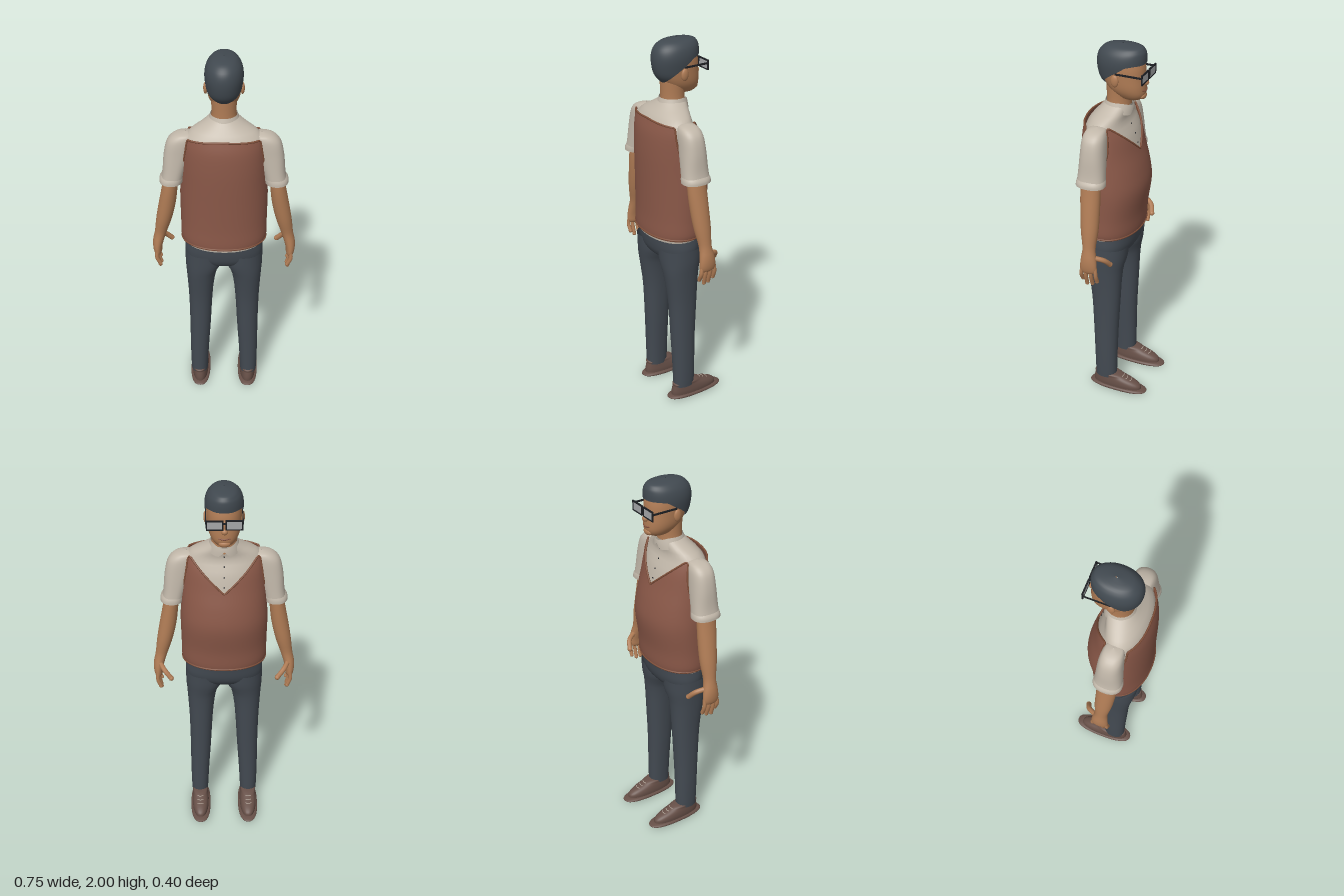
import * as THREE from 'three';

const mat = (name, color, double) => {
  const m = new THREE.MeshStandardMaterial({ color });
  m.name = name;
  if (double) m.side = THREE.DoubleSide;
  return m;
};

// Cross-section bounds [x0, x1, z0, z1] at height y, from rows [y, x0, x1, z0, z1]
function sample(rows, y) {
  const n = rows.length;
  let i = 0;
  while (i < n - 2 && y > rows[i + 1][0]) i++;
  const a = rows[i], b = rows[i + 1], p = rows[Math.max(0, i - 1)], q = rows[Math.min(n - 1, i + 2)];
  const h = b[0] - a[0], t = THREE.MathUtils.clamp((y - a[0]) / h, 0, 1);
  const t2 = t * t, t3 = t2 * t;
  return [1, 2, 3, 4].map(k => {
    const m0 = (b[k] - p[k]) / (b[0] - p[0]) * h, m1 = (q[k] - a[k]) / (q[0] - a[0]) * h;
    return (2 * t3 - 3 * t2 + 1) * a[k] + (t3 - 2 * t2 + t) * m0 + (3 * t2 - 2 * t3) * b[k] + (t3 - t2) * m1;
  });
}

// Point on a lofted body; n is the roundness power of the section
function surfacePoint(rows, angle, y, n = 2) {
  const [x0, x1, z0, z1] = sample(rows, y);
  const c = Math.cos(angle), s = Math.sin(angle), f = v => Math.sign(v) * Math.abs(v) ** (2 / n);
  return new THREE.Vector3((x0 + x1) / 2 + f(c) * (x1 - x0) / 2, y, (z0 + z1) / 2 + f(s) * (z1 - z0) / 2);
}

// Lofted skin between a bottom and a top edge that may vary with the angle
function shell(rows, { bottom, top, n = 2, segs = 40, steps = 28 } = {}) {
  const lo = bottom || (() => rows[0][0]), hi = top || (() => rows[rows.length - 1][0]);
  const pos = [], idx = [];
  for (let j = 0; j <= steps; j++) {
    const t = (1 - Math.cos(Math.PI * j / steps)) / 2;
    for (let i = 0; i < segs; i++) {
      const a = i / segs * Math.PI * 2;
      pos.push(...surfacePoint(rows, a, THREE.MathUtils.lerp(lo(a), hi(a), t), n).toArray());
      if (j < steps) {
        const k = j * segs + i, r = j * segs + (i + 1) % segs;
        idx.push(k, k + segs, r, r, k + segs, r + segs);
      }
    }
  }
  const g = new THREE.BufferGeometry();
  g.setAttribute('position', new THREE.Float32BufferAttribute(pos, 3));
  g.setIndex(idx);
  g.computeVertexNormals();
  return g;
}

// Rows symmetric about x = 0: [y, halfWidth, z0, z1]
const sym = rows => rows.map(([y, w, z0, z1]) => [y, -w, w, z0, z1]);
// The same rows on either side of the body
const side = (rows, s) => rows.map(([y, a, b, z0, z1]) => (s > 0 ? [y, a, b, z0, z1] : [y, -b, -a, z0, z1]));

export function createModel() {
  const root = new THREE.Group();
  const skin = mat('skin', 0xb07c55), lips = mat('lips', 0x84503c), hair = mat('hair', 0x414950, true);
  const shirt = mat('shirt cloth', 0xc2b8aa, true), knit = mat('vest knit', 0x8a5848, true);
  const trim = mat('vest trim', 0x7e4e38), denim = mat('trouser cloth', 0x434a52, true);
  const leather = mat('shoe leather', 0x664f47), black = mat('dark frame', 0x1e2024), glass = mat('lens', 0xa6a8aa);

  const add = (name, geo, m, x = 0, y = 0, z = 0) => {
    const mesh = new THREE.Mesh(geo, m);
    mesh.name = name;
    mesh.position.set(x, y, z);
    root.add(mesh);
    return mesh;
  };
  const ball = (name, m, p, s) => add(name, new THREE.SphereGeometry(1, 20, 14), m, ...p).scale.set(...s);
  const tube = (name, m, pts, r, closed = false, segs = 14) => add(name, new THREE.TubeGeometry(
    new THREE.CatmullRomCurve3(pts.map(p => (p.isVector3 ? p : new THREE.Vector3(...p))), closed), segs, r, 8, closed), m);

  // Shirt body, visible at the shoulders, neckline and hem
  const shirtRows = sym([
    [0.972, 0.198, -0.105, 0.165], [1.0, 0.205, -0.11, 0.168], [1.1, 0.21, -0.115, 0.168], [1.25, 0.214, -0.137, 0.17],
    [1.45, 0.205, -0.1, 0.17], [1.55, 0.2, -0.074, 0.163], [1.6, 0.195, -0.05, 0.15], [1.63, 0.165, -0.048, 0.13],
    [1.66, 0.112, -0.055, 0.102], [1.69, 0.07, -0.06, 0.076]]);
  add('shirt', shell(shirtRows, { n: 2.1 }), shirt);

  // Collar with two points at the front (-z)
  const collarRows = sym([[1.635, 0.09, -0.072, 0.09], [1.67, 0.08, -0.07, 0.086], [1.705, 0.067, -0.063, 0.074]]);
  add('collar', shell(collarRows, {
    bottom: a => 1.668 - 0.03 * Math.max(0, -Math.sin(a)) * Math.min(1, Math.abs(Math.cos(a)) * 3),
    top: a => 1.705 - 0.02 * Math.max(0, -Math.sin(a)) ** 4, steps: 8 }), shirt);
  for (const y of [1.48, 1.53, 1.58, 1.63])
    ball('shirtButton', black, [0, y, sample(shirtRows, y)[2] - 0.001], [0.004, 0.004, 0.003]);

  // Sleeveless vest with V neck and open armholes
  const vestRows = sym([
    [0.99, 0.215, -0.118, 0.178], [1.02, 0.222, -0.123, 0.18], [1.1, 0.222, -0.128, 0.178], [1.25, 0.224, -0.148, 0.18],
    [1.35, 0.219, -0.135, 0.182], [1.45, 0.214, -0.109, 0.182], [1.55, 0.21, -0.083, 0.175], [1.62, 0.203, -0.05, 0.157]]);
  const vestTop = a => {
    const c = Math.abs(Math.cos(a)), arm = Math.max(0, (c - 0.88) / 0.12);
    const neck = Math.sin(a) > 0 ? 1.618 - 0.012 * c : 1.45 + 0.16 * Math.min(1, c / 0.8);
    return neck - 0.2 * Math.sqrt(arm);
  };
  add('vest', shell(vestRows, { top: vestTop, n: 2.1, segs: 80 }), knit);
  const ring = (f, count) => Array.from({ length: count }, (_, i) => {
    const a = i / count * Math.PI * 2;
    return surfacePoint(vestRows, a, f(a), 2.1);
  });
  tube('vestEdging', trim, ring(vestTop, 80), 0.005, true, 160);
  tube('vestHem', trim, ring(() => 0.998, 40), 0.005, true, 80);

  // Trouser seat
  add('trouserSeat', shell(sym([
    [0.832, 0.03, 0.0, 0.06], [0.85, 0.13, -0.045, 0.115], [0.88, 0.19, -0.078, 0.14], [0.92, 0.203, -0.097, 0.152],
    [0.985, 0.198, -0.108, 0.16]]), { n: 2.2 }), denim);

  // Head, neck and face
  add('neck', shell(sym([[1.65, 0.07, -0.057, 0.072], [1.71, 0.062, -0.055, 0.068], [1.8, 0.064, -0.06, 0.07]])), skin);
  add('head', shell(sym([
    [1.715, 0.005, -0.075, -0.06], [1.722, 0.036, -0.108, -0.015], [1.745, 0.06, -0.13, 0.025], [1.78, 0.077, -0.134, 0.06],
    [1.83, 0.084, -0.131, 0.085], [1.9, 0.085, -0.126, 0.1], [1.95, 0.07, -0.1, 0.08], [1.98, 0.01, -0.02, 0.0]]),
    { n: 2.2 }), skin);
  ball('nose', skin, [0, 1.815, -0.134], [0.017, 0.016, 0.017]);
  ball('noseBridge', skin, [0, 1.84, -0.128], [0.009, 0.03, 0.012]);
  ball('chin', skin, [0, 1.743, -0.12], [0.03, 0.018, 0.017]);
  tube('mouth', lips, [[-0.028, 1.776, -0.127], [0, 1.772, -0.136], [0.028, 1.776, -0.127]], 0.004);

  // Hair cap: high across the forehead, low at the nape
  add('hair', shell(sym([
    [1.785, 0.062, -0.1, 0.072], [1.82, 0.083, -0.12, 0.1], [1.86, 0.091, -0.13, 0.113], [1.91, 0.095, -0.134, 0.117],
    [1.95, 0.088, -0.134, 0.108], [1.975, 0.073, -0.126, 0.088], [1.992, 0.048, -0.1, 0.055], [2.0, 0.002, -0.02, -0.01]]), {
    bottom: a => {
      const s = Math.sin(a);
      return s < -0.4 ? 1.912 - 0.02 * Math.max(0, s + 0.7) : 1.906 - 0.118 * Math.min(1, (s + 0.4) / 1.35);
    }, n: 2.1, segs: 64 }), hair);

  // Glasses
  const rim = new THREE.Shape([[-0.042, -0.026], [0.042, -0.026], [0.042, 0.026], [-0.042, 0.026]].map(p => new THREE.Vector2(...p)));
  rim.holes.push(new THREE.Path([[-0.035, -0.02], [-0.035, 0.019], [0.035, 0.019], [0.035, -0.02]].map(p => new THREE.Vector2(...p))));
  const rimGeo = new THREE.ExtrudeGeometry(rim, { depth: 0.007, bevelEnabled: false });
  add('glassesBridge', new THREE.BoxGeometry(0.014, 0.008, 0.007), black, 0, 1.865, -0.148);

  for (const s of [1, -1]) {
    add('glassesRim', rimGeo, black, s * 0.047, 1.857, -0.152);
    add('glassesLens', new THREE.BoxGeometry(0.071, 0.04, 0.003), glass, s * 0.047, 1.857, -0.148);
    add('glassesArm', new THREE.BoxGeometry(0.005, 0.009, 0.14), black, s * 0.089, 1.868, -0.08);
    ball('ear', skin, [s * 0.09, 1.832, -0.008], [0.011, 0.031, 0.02]);

    // Sleeve and turned cuff
    add('sleeve', shell(side([
      [1.345, 0.208, 0.32, -0.03, 0.116], [1.4, 0.195, 0.309, -0.026, 0.112], [1.5, 0.165, 0.299, -0.02, 0.106],
      [1.57, 0.15, 0.282, -0.014, 0.102], [1.6, 0.145, 0.258, -0.006, 0.095], [1.616, 0.15, 0.225, 0.008, 0.08],
      [1.622, 0.185, 0.19, 0.04, 0.045]], s), { n: 2.4 }), shirt);
    add('sleeveCuff', shell(side([[1.342, 0.206, 0.326, -0.033, 0.119], [1.36, 0.202, 0.324, -0.032, 0.118],
      [1.376, 0.2, 0.313, -0.027, 0.113]], s), { n: 2.3, steps: 6 }), shirt);

    // Arm running down into the palm
    add('arm', shell(side([
      [0.875, 0.335, 0.36, 0.0, 0.055], [0.885, 0.328, 0.368, -0.018, 0.068], [0.92, 0.325, 0.374, -0.02, 0.07],
      [0.965, 0.314, 0.372, -0.014, 0.066], [1.01, 0.3, 0.362, -0.005, 0.062], [1.1, 0.27, 0.351, -0.012, 0.078],
      [1.2, 0.247, 0.334, -0.012, 0.088], [1.3, 0.235, 0.315, -0.01, 0.094], [1.42, 0.225, 0.295, -0.005, 0.09]], s)), skin);

    // Fingers and thumb
    const digit = (name, pts, r) => {
      const p = pts.map(([x, y, z]) => [x * s, y, z]);
      tube(name, skin, p, r);
      ball(name + 'Tip', skin, p[2], [r, r, r]);
    };
    [[-0.012, 0.825], [0.012, 0.806], [0.036, 0.804], [0.058, 0.828]].forEach(([z, tip], i) =>
      digit('finger', [[0.35, 0.91, z], [0.352, 0.865, z * 1.15 - 0.002], [0.338 - 0.003 * (i % 2), tip, z * 1.15 - 0.003]], 0.0105));
    digit('thumb', [[0.34, 0.965, 0.005], [0.313, 0.945, -0.045], [0.28, 0.908, -0.064]], 0.0135);

    // Trouser leg
    add('trouserLeg', shell(side([
      [0.075, 0.092, 0.182, -0.032, 0.085], [0.12, 0.09, 0.184, -0.034, 0.086], [0.25, 0.083, 0.186, -0.036, 0.09],
      [0.4, 0.073, 0.186, -0.04, 0.096], [0.6, 0.062, 0.189, -0.05, 0.106], [0.72, 0.05, 0.195, -0.056, 0.122],
      [0.8, 0.032, 0.2, -0.065, 0.135], [0.84, 0.008, 0.203, -0.076, 0.14], [0.92, 0.0, 0.203, -0.085, 0.145]], s),
      { n: 2.2 }), denim);

    // Shoe: sole, upper and laces
    add('shoeSole', shell(side([[0, 0.12, 0.15, -0.06, 0.0], [0.002, 0.088, 0.18, -0.182, 0.098],
      [0.022, 0.085, 0.183, -0.186, 0.102], [0.025, 0.12, 0.15, -0.06, 0.0]], s), { n: 2.5 }), leather);
    const upper = side([
      [0.02, 0.09, 0.179, -0.181, 0.098], [0.04, 0.089, 0.181, -0.176, 0.098], [0.058, 0.091, 0.18, -0.15, 0.095],
      [0.078, 0.095, 0.177, -0.095, 0.09], [0.095, 0.1, 0.174, -0.045, 0.085], [0.1, 0.13, 0.14, 0.01, 0.03]], s);
    add('shoeUpper', shell(upper, { n: 2.3 }), leather);
    for (const y of [0.068, 0.076, 0.085])
      tube('shoeLace', shirt, [-0.35, 0, 0.35].map(d => surfacePoint(upper, -Math.PI / 2 + d, y, 2.3)), 0.0018);
  }
  return root;
}
